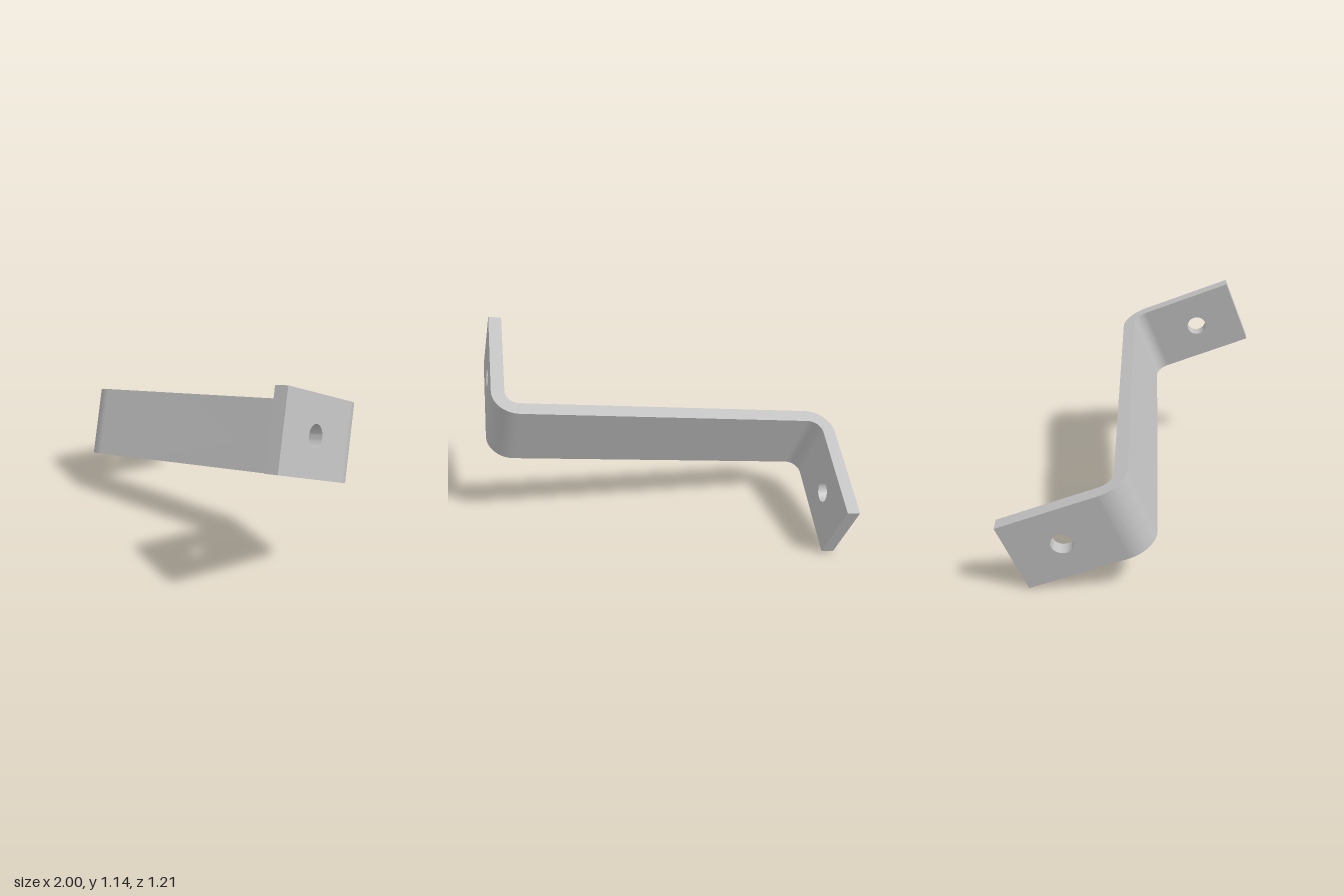
import * as THREE from 'three';
import { toCreasedNormals } from 'three/addons/utils/BufferGeometryUtils.js';

const HALF_LENGTH = 0.964, HALF_DEPTH = 0.655, WIDTH = 0.403, THICK = 0.072;
const OUTER_R = 0.15, INNER_R = OUTER_R - THICK;
const HOLE_POS = 0.385, HOLE_R = 0.058;

const smooth = (geometry) => toCreasedNormals(geometry, Math.PI / 6);

export function createModel() {
  const steel = new THREE.MeshStandardMaterial({ color: 0xc0c0c0 });
  steel.name = 'steel grey';

  const bracket = new THREE.Group();
  bracket.name = 'bracket';

  // Central web with a quarter-round bend at each end, extruded across the strip width
  const cx = HALF_LENGTH - OUTER_R, cy = OUTER_R - THICK / 2;
  const profile = new THREE.Shape();
  profile.absarc(cx, -cy, OUTER_R, Math.PI / 2, 0, true);
  profile.absarc(cx, -cy, INNER_R, 0, Math.PI / 2, false);
  profile.absarc(-cx, cy, OUTER_R, Math.PI * 1.5, Math.PI, true);
  profile.absarc(-cx, cy, INNER_R, Math.PI, Math.PI * 1.5, false);
  profile.closePath();
  const webGeometry = new THREE.ExtrudeGeometry(profile, { depth: WIDTH, bevelEnabled: false, curveSegments: 16 });
  webGeometry.translate(0, 0, -WIDTH / 2).rotateX(-Math.PI / 2);
  const web = new THREE.Mesh(smooth(webGeometry), steel);
  web.name = 'bentWeb';
  bracket.add(web);

  // Flat end flange with a bolt hole
  const plate = new THREE.Shape();
  plate.moveTo(-HALF_DEPTH, -WIDTH / 2);
  plate.lineTo(-cy, -WIDTH / 2);
  plate.lineTo(-cy, WIDTH / 2);
  plate.lineTo(-HALF_DEPTH, WIDTH / 2);
  plate.closePath();
  const hole = new THREE.Path();
  hole.absarc(-HOLE_POS, 0, HOLE_R, 0, Math.PI * 2, true);
  plate.holes.push(hole);
  let flangeGeometry = new THREE.ExtrudeGeometry(plate, { depth: THICK, bevelEnabled: false, curveSegments: 24 });
  flangeGeometry.translate(0, 0, HALF_LENGTH - THICK).rotateY(Math.PI / 2);
  flangeGeometry = smooth(flangeGeometry);

  // The two flanges point opposite ways, half a turn apart
  ['leftFlange', 'rightFlange'].forEach((name, i) => {
    const flange = new THREE.Mesh(flangeGeometry, steel);
    flange.name = name;
    flange.rotation.y = i * Math.PI;
    bracket.add(flange);
  });

  // Tilt the bracket: along the web, across the strip, along the flanges
  const along = new THREE.Vector3(0.985, 0.152, -0.086).normalize();
  const across = new THREE.Vector3(-0.172, 0.92, -0.352);
  across.addScaledVector(along, -across.dot(along)).normalize();
  const out = new THREE.Vector3().crossVectors(along, across);
  bracket.quaternion.setFromRotationMatrix(new THREE.Matrix4().makeBasis(along, across, out));
  bracket.position.y = 0.572;

  const model = new THREE.Group();
  model.name = 'tiltedBracket';
  model.add(bracket);
  return model;
}
